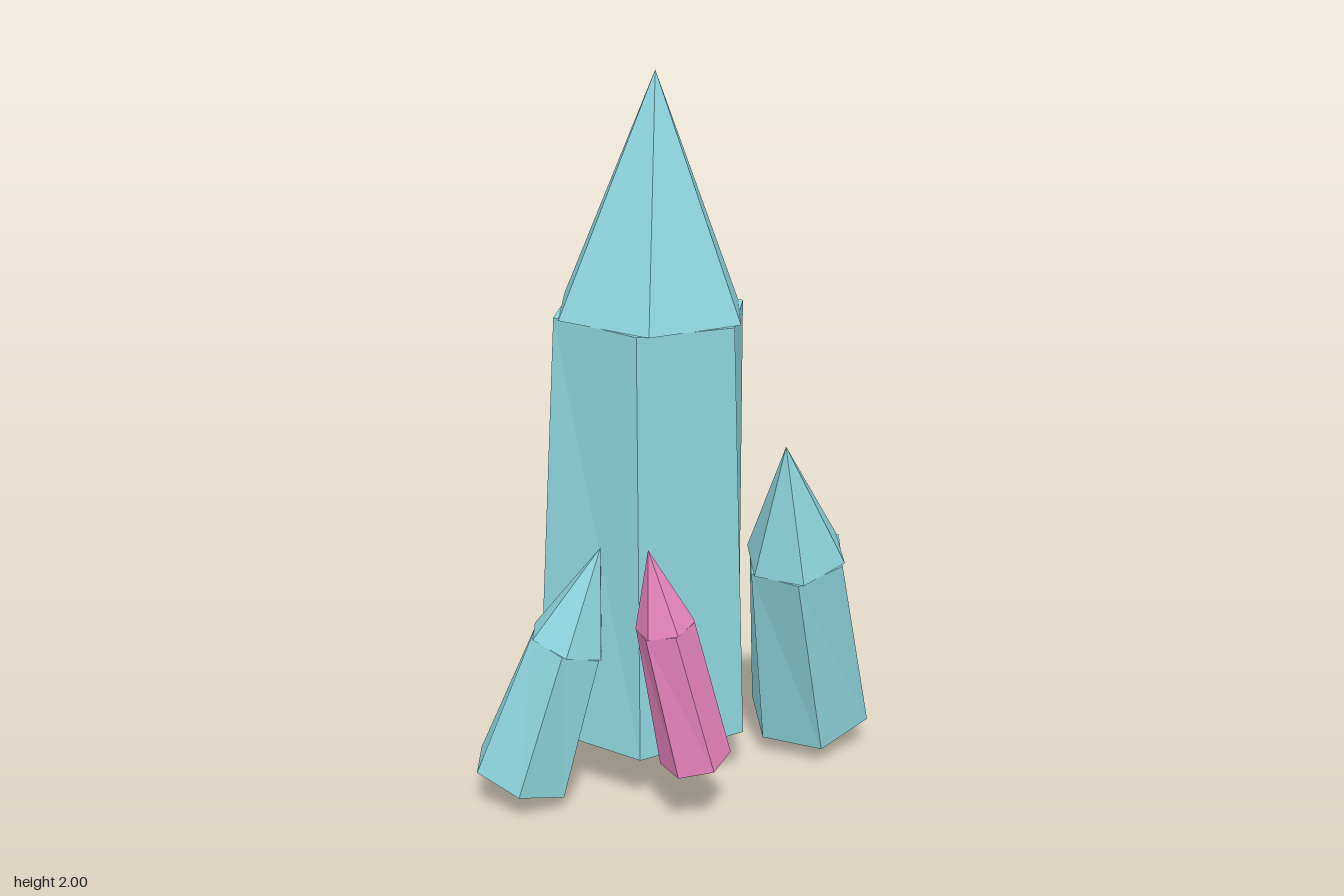
import * as THREE from 'three';

const SIDES = 6;
const TEAL = new THREE.MeshStandardMaterial({ color: 0x8fd6df, flatShading: true });
const PINK = new THREE.MeshStandardMaterial({ color: 0xe884c0, flatShading: true });

// Joins consecutive rings of points into a faceted surface; a one-point ring is a tip.
function facets(rings) {
  const pos = [];
  const tri = (...pts) => pts.forEach((p) => pos.push(p.x, p.y, p.z));
  for (let k = 0; k < rings.length - 1; k++) {
    const lo = rings[k], up = rings[k + 1];
    for (let i = 0; i < SIDES; i++) {
      const j = (i + 1) % SIDES;
      if (up.length > 1) tri(lo[i % lo.length], up[i], up[j]);
      if (lo.length > 1) tri(lo[i], up[j % up.length], lo[j]);
    }
  }
  const geo = new THREE.BufferGeometry();
  geo.setAttribute('position', new THREE.Float32BufferAttribute(pos, 3));
  geo.computeVertexNormals();
  return geo;
}

// One crystal along the axis from its base tip to its peak.
// low / high: height of ring centre, radius and starting angle in degrees.
function crystal(name, material, { base, peak, low, high, twist }) {
  const a = new THREE.Vector3(...base), b = new THREE.Vector3(...peak);
  const axis = b.clone().sub(a).normalize();
  const u = new THREE.Vector3(1, 0, 0).addScaledVector(axis, -axis.x).normalize();
  const v = u.clone().cross(axis);
  const centre = (y) => a.clone().lerp(b, (y - a.y) / (b.y - a.y));
  const ring = ([y, r, deg], turn = 0) => Array.from({ length: SIDES }, (_, i) => {
    const t = THREE.MathUtils.degToRad(deg + turn) + (i / SIDES) * Math.PI * 2;
    return centre(y).addScaledVector(u, r * Math.cos(t)).addScaledVector(v, r * Math.sin(t));
  });

  const group = new THREE.Group();
  group.name = name;
  const add = (part, rings) => {
    const mesh = new THREE.Mesh(facets(rings), material);
    mesh.name = part;
    group.add(mesh);
  };
  const foot = ring(low), shoulder = ring(high, twist);
  add('lowerPoint', [[a], foot]);
  // slightly twisted tapering prism, closed at the shoulder
  add('shaft', [foot, shoulder, [centre(high[0])]]);
  add('upperPoint', [[centre(high[0])], ring(high), [b]]);
  return group;
}

export function createModel() {
  const model = new THREE.Group();
  model.name = 'crystalCluster';
  model.add(
    crystal('mainCrystal', TEAL, {
      base: [-0.05, 0, -0.12], peak: [-0.05, 2, -0.02],
      low: [0.17, 0.335, 0], high: [1.365, 0.277, 0], twist: 6.7,
    }),
    crystal('leftCrystal', TEAL, {
      base: [0.45, 0.02, 0.04], peak: [0.21, 1.01, 0.23],
      low: [0.1, 0.182, -8], high: [0.66, 0.147, -6], twist: 6,
    }),
    crystal('rightCrystal', TEAL, {
      base: [-0.49, 0.025, -0.055], peak: [-0.275, 0.76, 0.07],
      low: [0.085, 0.145, 0], high: [0.485, 0.112, 0], twist: 6,
    }),
    crystal('smallPinkCrystal', PINK, {
      base: [-0.11, 0.16, 0.31], peak: [-0.26, 0.83, 0.305],
      low: [0.2, 0.097, 30], high: [0.61, 0.08, 35], twist: 5,
    }),
  );
  return model;
}
